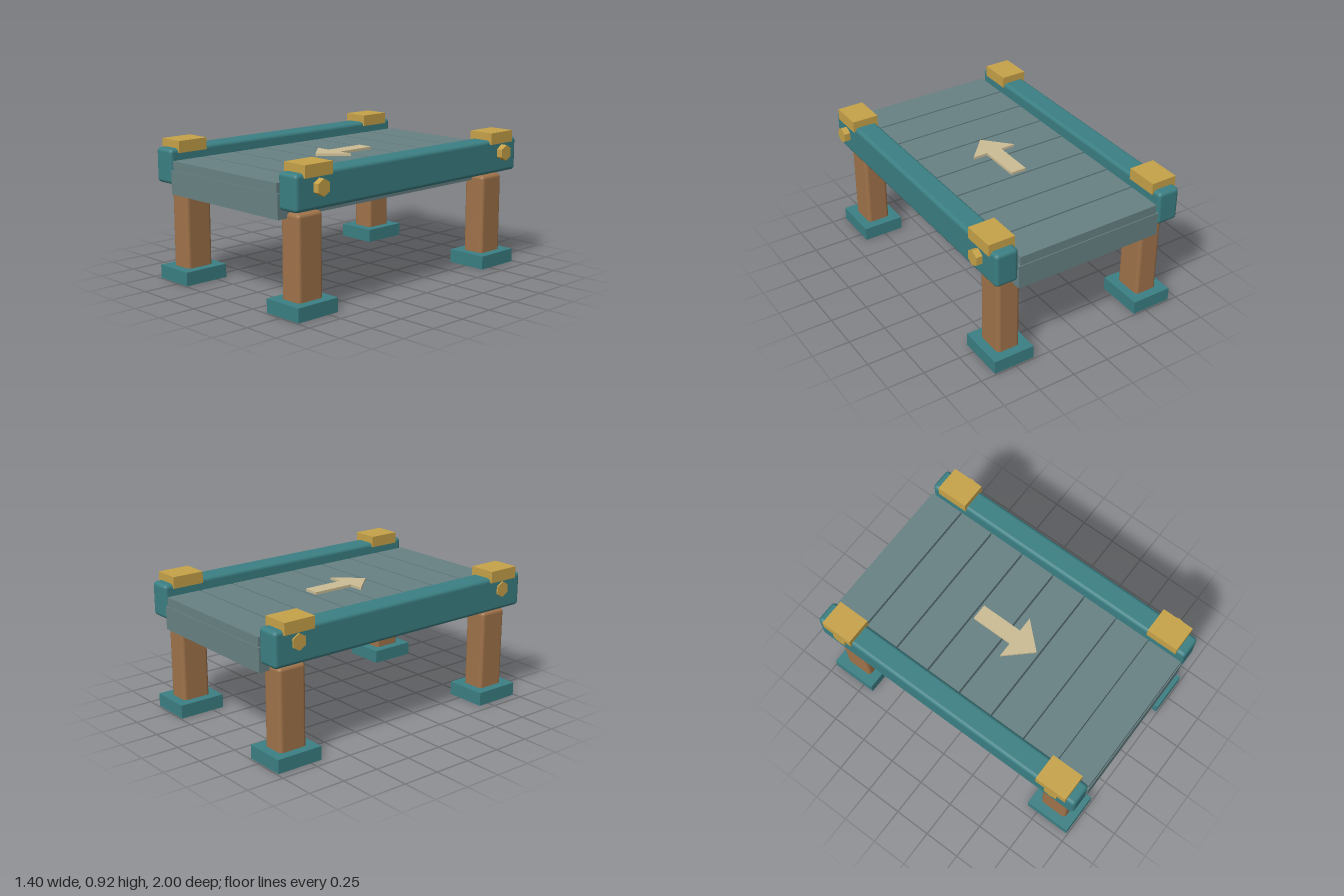
import * as THREE from 'three';
import { RoundedBoxGeometry } from 'three/addons/geometries/RoundedBoxGeometry.js';

const material = (name, color) => {
  const m = new THREE.MeshStandardMaterial({ color });
  m.name = name;
  return m;
};

export function createModel() {
  const teal = material('teal', 0x3b7f83);
  const wood = material('wood brown', 0xa0734a);
  const gold = material('brass gold', 0xc6a249);
  const slate = material('slate grey', 0x678183);
  const cream = material('cream', 0xcbbc94);

  const model = new THREE.Group();
  model.name = 'platform';
  // The bolts stick out on one side only, so the body sits slightly off centre
  const body = new THREE.Group();
  body.name = 'body';
  body.position.x = -0.022;
  model.add(body);

  const add = (parent, name, geometry, mat, x, y, z) => {
    const mesh = new THREE.Mesh(geometry, mat);
    mesh.name = name;
    mesh.position.set(x, y, z);
    parent.add(mesh);
    return mesh;
  };

  // Deck base and planks
  add(body, 'deckBase', new THREE.BoxGeometry(1.022, 0.155, 2), slate, 0, 0.6625, 0);
  const plank = new THREE.BoxGeometry(0.993, 0.08, 0.238);
  for (let i = 0; i < 8; i++) {
    add(body, 'plank', plank, slate, 0, 0.76, (i - 3.5) * 0.25);
  }

  // Direction arrow, drawn flat with its tip towards +z
  const outline = [
    [-0.054, 0.227], [0.054, 0.227], [0.054, -0.06], [0.157, -0.06],
    [0, -0.23], [-0.157, -0.06], [-0.054, -0.06],
  ].map(([x, y]) => new THREE.Vector2(x, y));
  const arrow = new THREE.ExtrudeGeometry(new THREE.Shape(outline), { depth: 0.018, bevelEnabled: false });
  arrow.rotateX(-Math.PI / 2);
  add(body, 'arrow', arrow, cream, 0, 0.799, 0);

  // Side rails, with a leg, foot, cap and bolt near each end
  const rail = new RoundedBoxGeometry(0.156, 0.226, 2, 3, 0.025);
  const leg = new RoundedBoxGeometry(0.157, 0.62, 0.195, 3, 0.024);
  const foot = new THREE.BoxGeometry(0.279, 0.09, 0.318);
  const cap = new THREE.BoxGeometry(0.179, 0.077, 0.219);
  const bolt = new THREE.CylinderGeometry(0.053, 0.053, 0.042, 6).toNonIndexed();
  bolt.computeVertexNormals();
  bolt.rotateZ(Math.PI / 2);
  bolt.rotateX(Math.PI / 2);
  // Turn the hexagon so that a corner points up
  const points = bolt.attributes.position;
  let top = 0;
  for (let i = 0; i < points.count; i++) top = Math.max(top, points.getY(i));
  if (top < 0.05) bolt.rotateX(Math.PI / 6);

  for (const side of [-1, 1]) {
    add(body, 'sideRail', rail, teal, side * 0.59, 0.758, 0);
    for (const end of [-1, 1]) {
      const z = end * 0.831;
      add(body, 'leg', leg, wood, side * 0.53, 0.31, z);
      add(body, 'foot', foot, teal, side * 0.53, 0.045, z);
      add(body, 'cap', cap, gold, side * 0.591, 0.8825, z);
      add(model, 'bolt', bolt, gold, side * 0.679, 0.784, z);
    }
  }
  return model;
}
